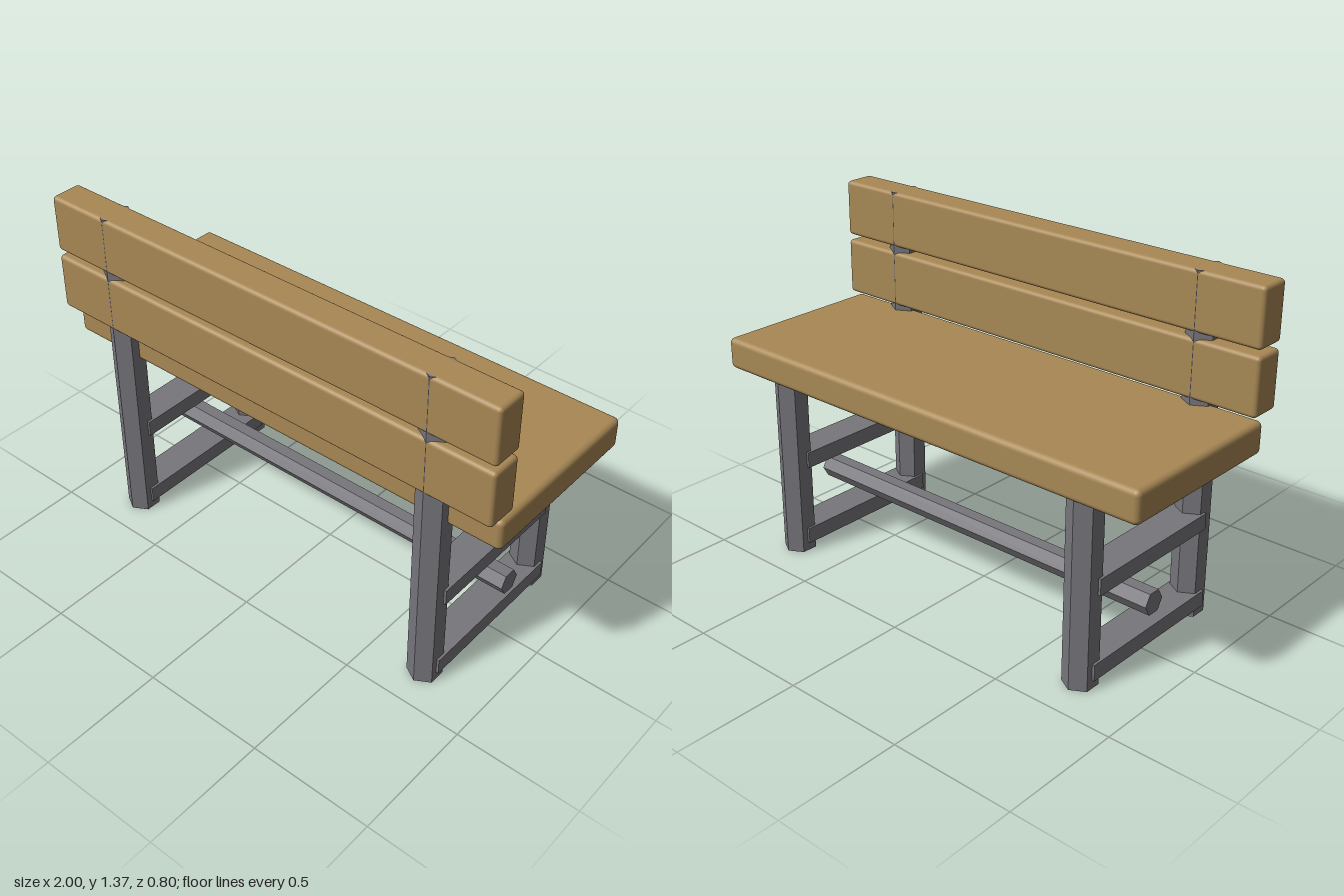
import * as THREE from 'three';
import { RoundedBoxGeometry } from 'three/addons/geometries/RoundedBoxGeometry.js';

export function createModel() {
  const model = new THREE.Group();
  model.name = 'bench';
  const wood = new THREE.MeshStandardMaterial({ color: 0xa88855 });
  const metal = new THREE.MeshStandardMaterial({ color: 0x77767c, flatShading: true });

  function add(name, geometry, material, x, y, z) {
    const mesh = new THREE.Mesh(geometry, material);
    mesh.name = name;
    mesh.position.set(x, y, z);
    model.add(mesh);
    return mesh;
  }

  // Softly rounded board given by its y and z limits
  function board(name, y0, y1, z0, z1, radius) {
    const geometry = new RoundedBoxGeometry(2, y1 - y0, z1 - z0, 3, radius);
    add(name, geometry, wood, 0, (y0 + y1) / 2, (z0 + z1) / 2);
  }
  board('seat', 0.74, 0.868, -0.396, 0.332, 0.022);
  board('lowerBackBoard', 0.889, 1.117, 0.27, 0.4, 0.016);
  board('upperBackBoard', 1.14, 1.368, 0.27, 0.4, 0.016);

  // Six-sided posts, with flat crossbars joining each pair
  function post(name, x, z, height) {
    add(name, new THREE.CylinderGeometry(0.066, 0.066, height, 6), metal, x, height / 2, z);
  }
  function crossbar(name, x, y, z0, z1) {
    add(name, new THREE.BoxGeometry(0.134, 0.066, z1 - z0), metal, x, y, (z0 + z1) / 2);
  }
  for (const [side, sign] of [['left', 1], ['right', -1]]) {
    const x = 0.732 * sign;
    post(side + 'TallPost', x, 0.335, 1.367);
    post(side + 'ShortPost', x, -0.315, 0.8);
    crossbar(side + 'UpperCrossbar', x, 0.403, -0.304, 0.326);
    crossbar(side + 'LowerCrossbar', x, 0.068, -0.322, 0.344);
  }

  // Six-sided rod running between the two ends
  const rod = add('stretcher', new THREE.CylinderGeometry(0.05, 0.05, 1.666, 6), metal, 0, 0.235, -0.032);
  rod.rotation.z = Math.PI / 2;

  return model;
}
